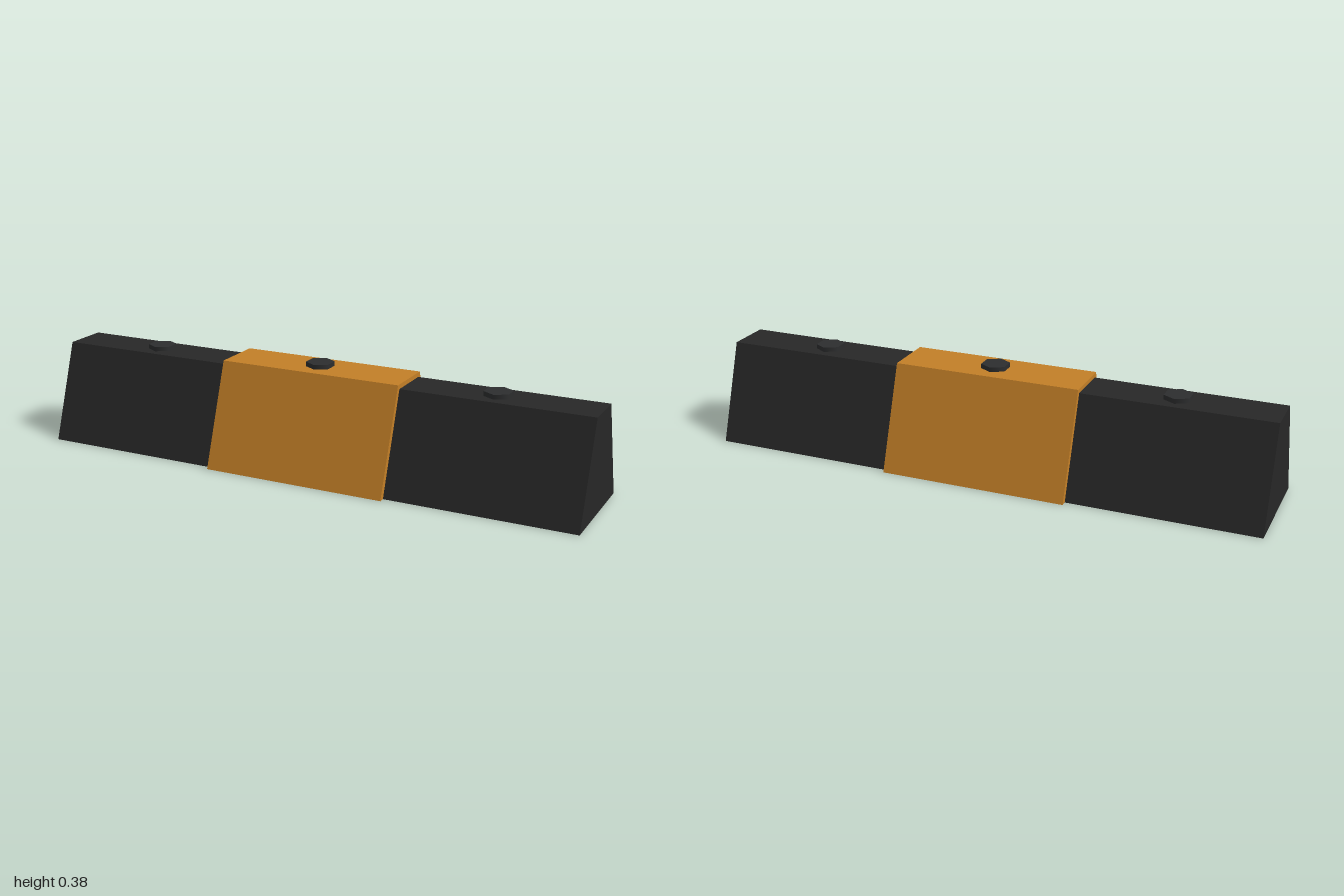
import * as THREE from 'three';

const SPLIT = 0.334; // half length of the sleeve

// Half sections running from the front foot over the top to the back foot, as [z, y]
const section = (foot, top, height) => [[foot, 0], [top, height], [-top, height], [-foot, 0]];
const barSection = section(0.2, 0.08, 0.348);
const sleeveSection = section(0.221, 0.092, 0.364);

// Flat-sided surface from four-cornered faces (counter-clockwise from outside)
function quads(faces) {
  const points = faces.flatMap(([a, b, c, d]) => [a, b, c, a, c, d]);
  const geometry = new THREE.BufferGeometry();
  geometry.setAttribute('position', new THREE.Float32BufferAttribute(points.flat(), 3));
  geometry.computeVertexNormals();
  return geometry;
}

const at = (x, [z, y]) => [x, y, z];

// Two sloping walls and a flat top, open underneath
function walls(profile, x0, x1) {
  return [0, 1, 2].map((i) => [
    at(x0, profile[i]), at(x1, profile[i]), at(x1, profile[i + 1]), at(x0, profile[i + 1]),
  ]);
}

// Narrow end face between the sleeve and the bar
function rim(x) {
  return [0, 1, 2].map((i) => {
    const face = [sleeveSection[i], barSection[i], barSection[i + 1], sleeveSection[i + 1]].map((p) => at(x, p));
    return x > 0 ? face.reverse() : face;
  });
}

export function createModel() {
  const model = new THREE.Group();
  model.name = 'barrier';

  const black = new THREE.MeshStandardMaterial({ color: 0x272727, side: THREE.DoubleSide });
  black.name = 'black';
  const amber = new THREE.MeshStandardMaterial({ color: 0xc37f27, side: THREE.DoubleSide });
  amber.name = 'amber';
  const steel = new THREE.MeshStandardMaterial({ color: 0x2d2e2f });
  steel.name = 'dark steel';

  const add = (geometry, material, name) => {
    const mesh = new THREE.Mesh(geometry, material);
    mesh.name = name;
    model.add(mesh);
    return mesh;
  };

  // Hollow end sections, each closed at its outer end
  for (const side of [1, -1]) {
    const cap = barSection.map((p) => at(side, p));
    if (side < 0) cap.reverse();
    const span = side > 0 ? [SPLIT, 1] : [-1, -SPLIT];
    add(quads([...walls(barSection, ...span), cap]), black, side > 0 ? 'leftSection' : 'rightSection');
  }

  // Raised sleeve around the middle
  add(quads([...walls(sleeveSection, -SPLIT, SPLIT), ...rim(SPLIT), ...rim(-SPLIT)]), amber, 'middleSleeve');

  // Hexagonal bolts along the top
  const bolt = new THREE.CylinderGeometry(0.05, 0.05, 0.032, 6);
  for (const [x, top, name] of [[-0.65, 0.364, 'rightBolt'], [0, 0.38, 'middleBolt'], [0.65, 0.364, 'leftBolt']]) {
    add(bolt, steel, name).position.set(x, top - 0.016, 0);
  }

  return model;
}
